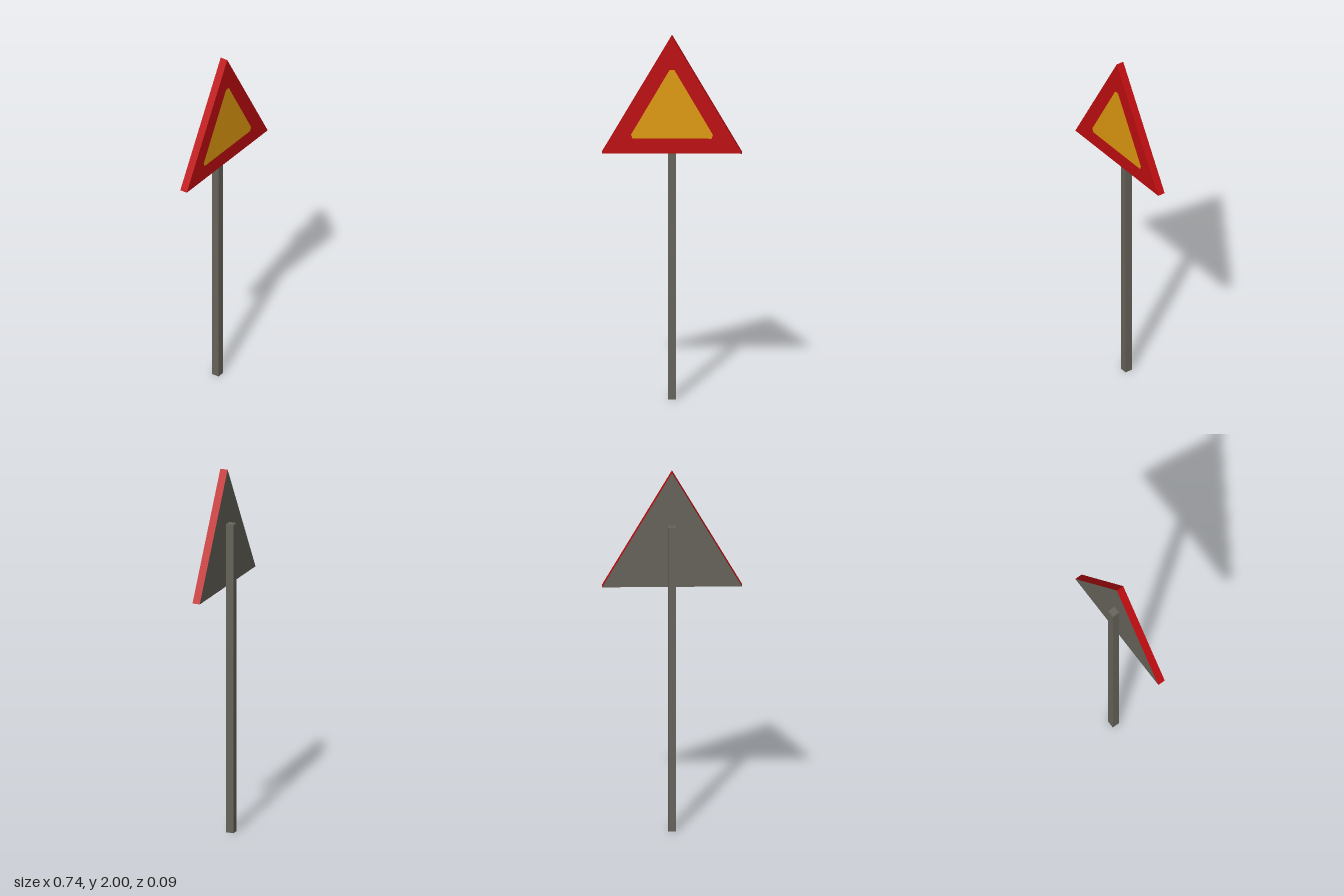
import * as THREE from 'three';

const paint = (name, color) => {
  const m = new THREE.MeshStandardMaterial({ color });
  m.name = name;
  return m;
};

export function createModel() {
  const red = paint('red', 0xbf0d10);
  const yellow = paint('amber', 0xe09a10);
  const grey = paint('grey metal', 0x66645a);
  const model = new THREE.Group();
  model.name = 'warningSign';
  const add = (name, geometry, material, x, y, z) => {
    const mesh = new THREE.Mesh(geometry, material);
    mesh.name = name;
    mesh.position.set(x, y, z);
    model.add(mesh);
  };
  const outline = (points) => new THREE.Shape(points.map(([x, y]) => new THREE.Vector2(x, y)));

  const depth = 0.042;
  const bottom = 1.36;

  // square post behind the panel
  add('post', new THREE.BoxGeometry(depth, 1.705, depth), grey, 0, 1.705 / 2, -depth / 2);

  // triangular panel: bare grey back, red front and rim
  const panel = new THREE.ExtrudeGeometry(
    outline([[-0.37, 0], [0.37, 0], [0, 0.64]]), { depth, bevelEnabled: false });
  panel.clearGroups();
  panel.addGroup(0, 3, 0);
  panel.addGroup(3, panel.attributes.position.count - 3, 1);
  add('panel', panel, [grey, red], 0, bottom, 0);

  // amber centre with clipped corners
  const centre = new THREE.ShapeGeometry(outline([
    [-0.208, 0.082], [0.208, 0.082], [0.217, 0.102],
    [0.013, 0.458], [-0.013, 0.458], [-0.217, 0.102]]));
  add('centreField', centre, yellow, 0, bottom, depth + 0.001);

  return model;
}
